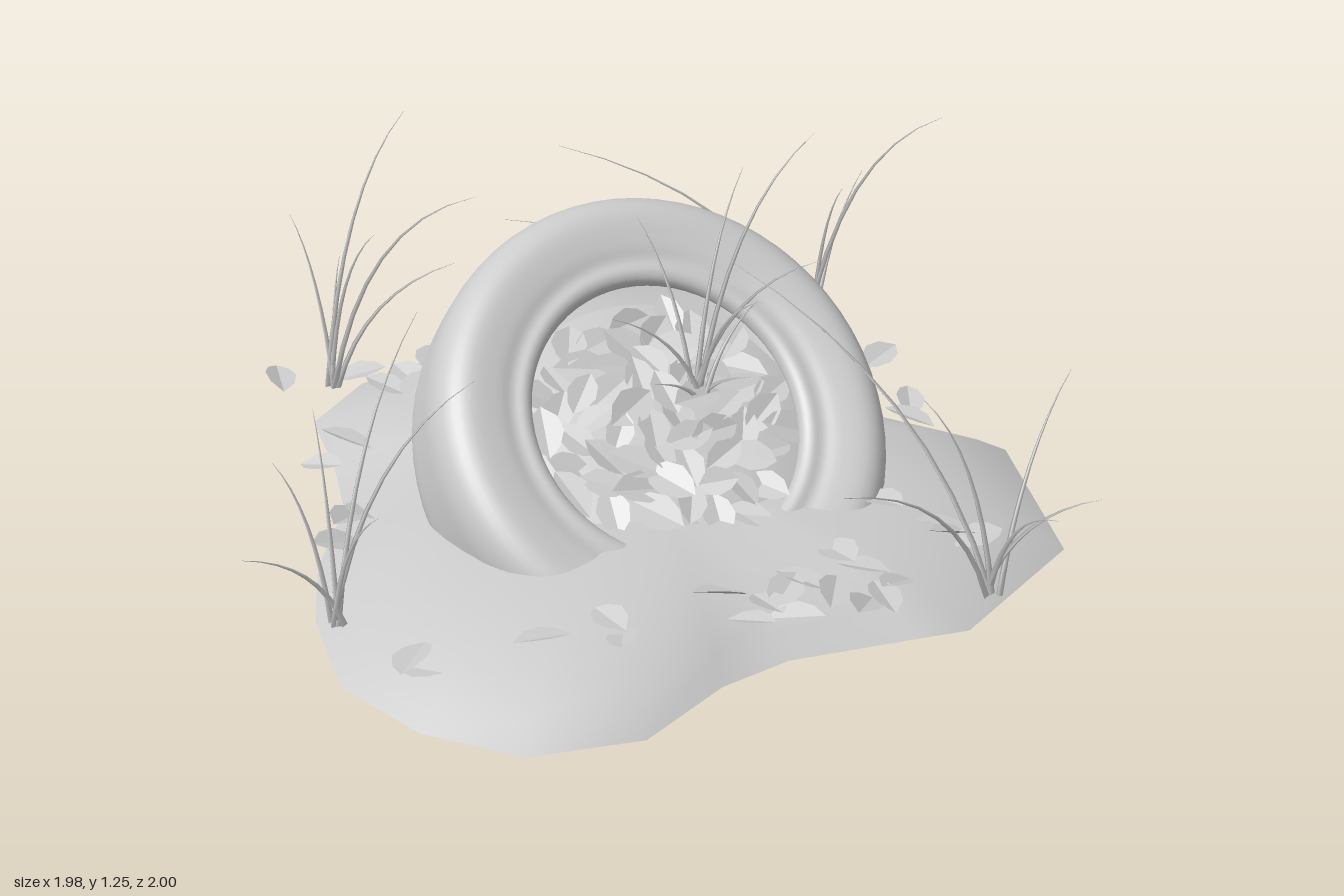
import * as THREE from 'three';

const clay = new THREE.MeshStandardMaterial({ color: 0xcccccc, side: THREE.DoubleSide });
clay.name = 'light grey';

const V = (x, y, z) => new THREE.Vector3(x, y, z);
let seed = 7;
const rand = () => (seed = (seed * 16807) % 2147483647) / 2147483647;
const spread = (a) => (rand() * 2 - 1) * a;

// Mound outline as x, z pairs
const outline = [
  [-0.44, -1], [-0.15, -0.98], [0.11, -0.98], [0.24, -0.71], [0.6, -0.54], [0.99, -0.25],
  [1, 0.28], [0.68, 0.62], [0.55, 0.64], [0.24, 0.69], [0.07, 0.78], [-0.13, 0.97],
  [-0.4, 1], [-0.62, 0.87], [-0.78, 0.65], [-0.82, 0.35], [-0.8, 0.1], [-0.72, -0.18],
  [-0.73, -0.4], [-0.77, -0.67], [-0.63, -0.88],
];
const moundHeight = (s) => 0.25 + 0.175 * Math.max(0, 1 - Math.pow(s, 3.6));

// Fraction of the way from the centre to the outline
function edgeFraction(x, z) {
  for (let i = 0; i < outline.length; i++) {
    const [ax, az] = outline[i], [bx, bz] = outline[(i + 1) % outline.length];
    const d = ax * bz - az * bx;
    const u = (x * bz - z * bx) / d, v = (ax * z - az * x) / d;
    if (u >= 0 && v >= 0) return u + v;
  }
  return 1;
}

// Surface through loops of equal point count
function skin(loops) {
  const n = loops[0].length, pos = [], index = [];
  loops.forEach((loop) => loop.forEach((p) => pos.push(p.x, p.y, p.z)));
  for (let r = 0; r < loops.length - 1; r++) {
    for (let i = 0; i < n; i++) {
      const a = r * n + i, b = r * n + (i + 1) % n;
      index.push(a, a + n, b, b, a + n, b + n);
    }
  }
  const g = new THREE.BufferGeometry();
  g.setAttribute('position', new THREE.Float32BufferAttribute(pos, 3));
  g.setIndex(index);
  g.computeVertexNormals();
  return g;
}

function add(parent, geometry, name) {
  const mesh = new THREE.Mesh(geometry, clay);
  mesh.name = name;
  parent.add(mesh);
  return mesh;
}

function makeMound() {
  const loops = [];
  for (let r = 0; r <= 12; r++) {
    const s = Math.max(r / 12, 0.002);
    loops.push(outline.map(([x, z]) => V(x * s, moundHeight(s), z * s)).reverse());
  }
  return skin(loops);
}

// Hollow tyre with rounded shoulders and thin inward beads
function makeTyre() {
  const half = [[0.575, 0], [0.572, 0.09], [0.548, 0.15], [0.5, 0.178], [0.43, 0.172],
    [0.39, 0.16], [0.36, 0.163], [0.34, 0.15], [0.336, 0.125]];
  const inner = [[0.355, 0.125], [0.43, 0.145], [0.51, 0.125], [0.54, 0.07], [0.545, 0]];
  const upper = [...half, ...inner].map(([r, y]) => new THREE.Vector2(r, y));
  const lower = upper.slice(0, -1).reverse().map((p) => new THREE.Vector2(p.x, -p.y));
  const curve = new THREE.SplineCurve([...upper, ...lower]);
  return new THREE.LatheGeometry(curve.getPoints(100), 64);
}

// Folded pointed oval leaf, built from two halves
function makeLeaf() {
  const side = [[-0.5, 0], [-0.25, 0.24], [0.05, 0.31], [0.32, 0.2], [0.5, 0]];
  const pos = [];
  for (const m of [1, -1]) {
    for (let i = 0; i < 4; i++) {
      const [x0, z0] = side[i], [x1, z1] = side[i + 1];
      const a = [x0, 0, 0], b = [x0, z0 * 0.3, m * z0];
      const c = [x1, z1 * 0.3, m * z1], d = [x1, 0, 0];
      const quad = m > 0 ? [a, b, c, a, c, d] : [a, c, b, a, d, c];
      quad.forEach((p) => pos.push(...p));
    }
  }
  const g = new THREE.BufferGeometry();
  g.setAttribute('position', new THREE.Float32BufferAttribute(pos, 3));
  g.computeVertexNormals();
  return g;
}

// Tapered three-sided blade, rising steeply and arching to its tip
function makeBlade(base, tip) {
  const d = tip.clone().sub(base);
  const bend = base.clone().add(V(d.x * 0.25, d.y * 0.75, d.z * 0.25));
  const curve = new THREE.QuadraticBezierCurve3(base, bend, tip);
  const loops = [];
  for (let i = 0; i <= 8; i++) {
    const t = i / 8, p = curve.getPoint(t);
    const q = new THREE.Quaternion().setFromUnitVectors(V(0, 1, 0), curve.getTangent(t));
    const w = 0.0085 * (1 - t) + 0.0005;
    loops.push([0, 1, 2].map((k) => {
      const a = k * Math.PI * 2 / 3;
      return V(Math.cos(a) * w, 0, Math.sin(a) * w).applyQuaternion(q).add(p);
    }));
  }
  return skin(loops);
}

// Each tuft: base, then the tips of its blades
const tufts = [
  [[-0.72, 0.38, -0.62], [-0.8, 0.8, -0.78], [-0.37, 1.05, -0.23], [-0.4, 0.75, -0.52],
    [-0.5, 1.1, -0.7], [-0.6, 0.85, -0.5], [-0.68, 0.7, -0.72]],
  [[0.57, 0.37, -0.76], [-0.25, 0.78, -0.71], [-0.09, 0.92, -0.85], [0.75, 0.75, -0.97],
    [0.82, 1.12, -0.4], [0.62, 0.85, -0.62]],
  [[-0.78, 0.37, 0.58], [-0.98, 0.62, 0.7], [-0.45, 0.95, 0.56], [-0.55, 0.98, 0.25],
    [-0.8, 0.8, 0.35], [-0.9, 0.75, 0.5], [-0.68, 0.7, 0.7]],
  [[0.72, 0.36, 0.65], [0.95, 0.8, 0.4], [0.2, 1.0, 0.13], [0.78, 0.7, 0.93],
    [0.93, 0.65, 0.76], [0.55, 0.85, 0.6], [0.3, 0.8, 0.94]],
  [[0.14, 0.59, 0.02], [0.42, 1.25, -0.03], [0.02, 0.98, -0.25], [0.28, 1.1, -0.2],
    [0.4, 1.0, 0.15], [0.25, 0.95, 0.25], [-0.08, 0.85, 0.08], [0.3, 0.8, -0.08],
    [0.02, 0.68, 0.1], [0.26, 0.68, 0.1], [0.2, 0.67, -0.1]],
];

// Scattered leaves as x, z pairs
const scatter = [
  [-0.85, -0.7], [-0.45, -0.78], [-0.52, -0.67], [-0.38, -0.65], [-0.45, -0.56], [-0.58, -0.62],
  [-0.2, -0.6], [-0.64, -0.7], [0.12, -0.71], [0.4, -0.66], [0.43, -0.58], [0.73, -0.6],
  [0.63, -0.37], [0.75, -0.33], [0.73, -0.24], [0.5, -0.3], [-0.7, -0.33], [-0.77, -0.2],
  [-0.72, 0.08], [-0.76, 0.2], [-0.6, 0.8], [-0.33, 0.72], [-0.17, 0.68], [0.1, 0.57],
  [0.2, 0.63], [0.3, 0.54], [0.25, 0.7], [0.42, 0.67], [0.45, 0.5], [0.51, 0.58],
  [0.55, 0.25], [0.7, 0.37], [0.75, 0.4], [0.15, 0.7], [0.36, 0.6],
  [-0.5, -0.6], [-0.42, -0.72], [-0.68, 0.05], [-0.62, 0.75], [0.4, 0.45], [0.47, 0.64],
  [0.25, 0.58], [0.68, 0.33], [-0.15, 0.74],
];

export function createModel() {
  const model = new THREE.Group();
  add(model, makeMound(), 'groundMound');

  // Tilted, slightly oval tyre
  const tyre = add(model, makeTyre(), 'tyre');
  tyre.position.set(0.02, 0.498, 0.03);
  tyre.quaternion.setFromUnitVectors(V(0, 1, 0), V(0.2, 0.74, 0.65).normalize());
  tyre.scale.z = 1.05;

  // Heap of litter inside the tyre, lying flatter than the tyre
  const litter = new THREE.Group();
  litter.name = 'litter';
  litter.position.set(0.04, 0.52, 0.05);
  litter.quaternion.setFromUnitVectors(V(0, 1, 0), V(0.1, 0.85, 0.52).normalize());
  model.add(litter);
  const dome = [[0.38, 0], [0.3, 0.035], [0.18, 0.06], [0, 0.07]];
  add(litter, new THREE.LatheGeometry(dome.map(([r, y]) => new THREE.Vector2(r, y)), 32), 'litterBed');

  const leaf = makeLeaf();
  for (let i = 0; i < 60; i++) {
    const r = 0.32 * Math.sqrt((i + 0.5) / 60), a = i * 2.4;
    const m = add(litter, leaf, 'litterLeaf');
    m.position.set(r * Math.cos(a), 0.078 - 0.4 * r * r + rand() * 0.02, r * Math.sin(a));
    m.rotation.set(spread(0.3), rand() * 6.28, spread(0.3), 'YXZ');
    m.scale.setScalar(0.11 + rand() * 0.04);
  }

  // Fallen leaves around the tyre
  for (const [x, z] of scatter) {
    const m = add(model, leaf, 'fallenLeaf');
    m.position.set(x, Math.max(moundHeight(edgeFraction(x, z)) + 0.012, 0.37), z);
    m.rotation.set(spread(0.3), rand() * 6.28, spread(0.3), 'YXZ');
    m.scale.setScalar(0.12 + rand() * 0.03);
  }

  // Grass tufts
  for (const [base, ...tips] of tufts) {
    const tuft = new THREE.Group();
    tuft.name = 'grassTuft';
    for (const tip of tips) {
      const root = V(base[0] + spread(0.02), base[1], base[2] + spread(0.02));
      add(tuft, makeBlade(root, V(...tip)), 'grassBlade');
    }
    model.add(tuft);
  }
  return model;
}
